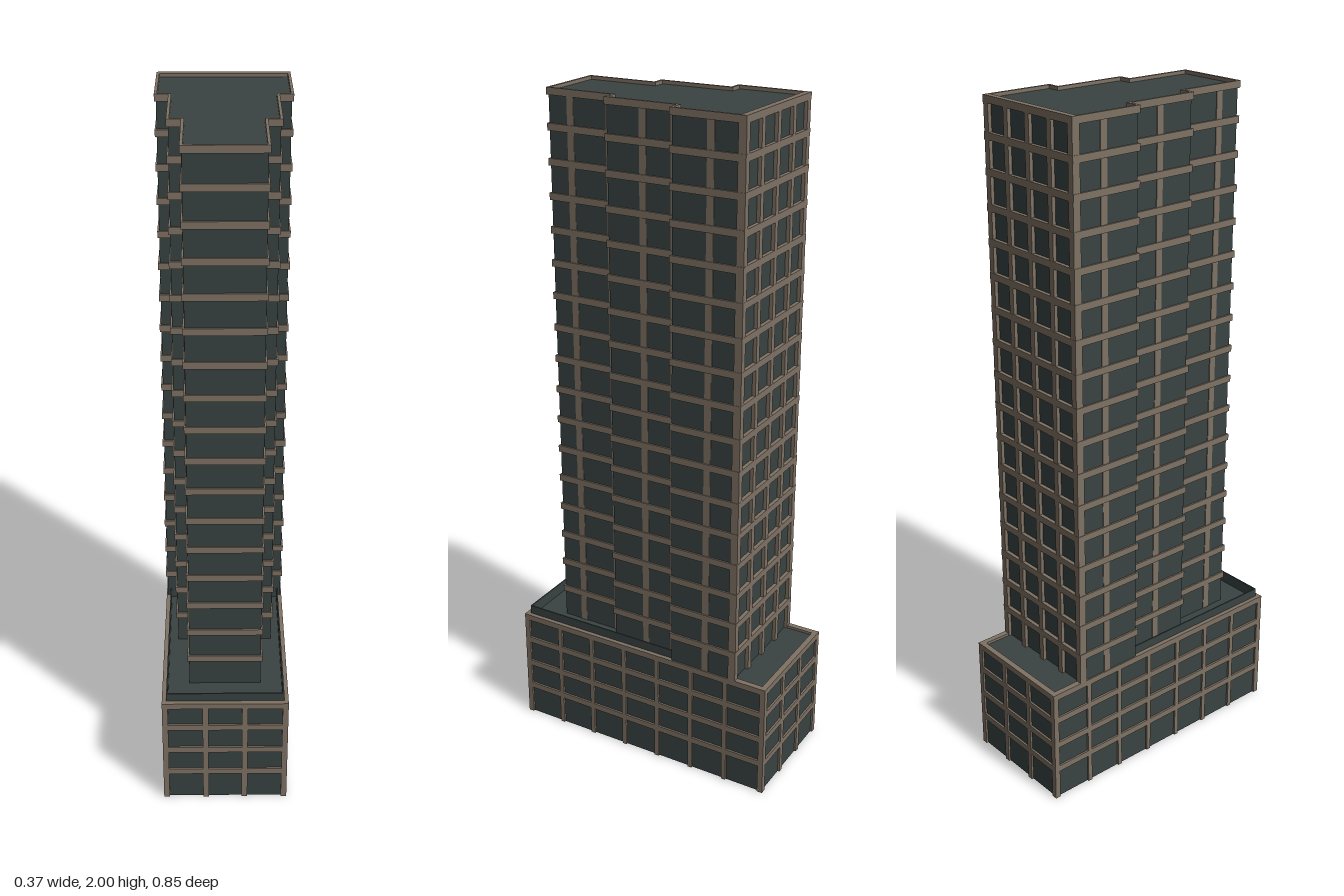
import * as THREE from 'three';

const glass = new THREE.MeshStandardMaterial({ color: 0x394242 });
glass.name = 'dark glass';
const stone = new THREE.MeshStandardMaterial({ color: 0x7f7264 });
stone.name = 'brown stone';

function box(parent, name, mat, x0, x1, y0, y1, z0, z1) {
  const mesh = new THREE.Mesh(new THREE.BoxGeometry(x1 - x0, y1 - y0, z1 - z0), mat);
  mesh.position.set((x0 + x1) / 2, (y0 + y1) / 2, (z0 + z1) / 2);
  mesh.name = name;
  parent.add(mesh);
}

// Stepped tower plan grown outwards by o, with its back at z = back (shape y is -z)
function plan(o, back) {
  const half = [
    [0.105 + o, 0.319 + o], [0.105 + o, 0.11 + o], [0.143 + o, 0.11 + o],
    [0.143 + o, -0.11 + o], [0.181 + o, -0.11 + o], [0.181 + o, back],
  ];
  const all = [...half, ...half.map(([x, z]) => [-x, z]).reverse()];
  return all.map(([x, z]) => new THREE.Vector2(x, -z));
}

// Rectangular plan, anticlockwise like the tower plan
function rect(w, d) {
  return [[-w, -d], [w, -d], [w, d], [-w, d]].map(([x, y]) => new THREE.Vector2(x, y));
}

// Upright prism of a plan, optionally hollow
function prism(parent, name, mat, outer, inner, y0, y1) {
  const shape = new THREE.Shape(outer);
  if (inner) shape.holes.push(new THREE.Path(inner));
  const geo = new THREE.ExtrudeGeometry(shape, { depth: y1 - y0, bevelEnabled: false });
  geo.rotateX(-Math.PI / 2);
  const mesh = new THREE.Mesh(geo, mat);
  mesh.position.y = y0;
  mesh.name = name;
  parent.add(mesh);
}

function makePodium() {
  const g = new THREE.Group();
  g.name = 'podium';
  const W = 0.185, D = 0.424, T = 0.017, H = 0.363;
  // Glass walls, open underneath, with a flat roof
  prism(g, 'podiumGlass', glass, rect(0.179, 0.418), rect(0.174, 0.413), 0, 0.355);
  box(g, 'podiumRoof', glass, -0.174, 0.174, 0.349, 0.355, -0.413, 0.413);
  // Floor bands, the uppermost being the parapet
  for (const y of [H, 0.282, 0.196, 0.111])
    prism(g, 'podiumBand', stone, rect(W, D), rect(W - T, D - T), y - 0.019, y);
  // Columns on the long sides, then on the ends
  for (const s of [-1, 1]) {
    for (let i = 1; i < 7; i++) {
      const z = -0.409 + i * 0.1169;
      const x = s * (W - T / 2);
      box(g, 'podiumSideColumn', stone, x - T / 2, x + T / 2, 0, H - 0.001, z - 0.007, z + 0.007);
    }
    for (const x of [-0.1765, -0.058, 0.058, 0.1765]) {
      const z = s * (D - T / 2);
      box(g, 'podiumEndColumn', stone, x - 0.0085, x + 0.0085, 0, H - 0.001, z - T / 2, z + T / 2);
    }
  }
  return g;
}

function makeTerrace() {
  const g = new THREE.Group();
  g.name = 'terraceRailing';
  // Low glass railing round three sides of the podium roof
  for (const s of [-1, 1])
    box(g, 'sideRailing', glass, s * 0.17 - 0.002, s * 0.17 + 0.002, 0.355, 0.39, -0.106, 0.41);
  box(g, 'frontRailing', glass, -0.172, 0.172, 0.355, 0.39, 0.406, 0.41);
  return g;
}

function makeTower() {
  const g = new THREE.Group();
  g.name = 'tower';
  prism(g, 'towerGlass', glass, plan(0, -0.314), null, 0.355, 1.99);
  // Floor bands from the roof edge downwards
  for (let i = 0; i < 17; i++) {
    const top = 2 - i * 0.0963;
    prism(g, 'floorBand', stone, plan(0.005, -0.325), plan(-0.003, -0.306), top - 0.02, top);
  }

  // Side columns: wall half-width and z of each
  const columns = [[0.105, 0.25], [0.105, 0.126], [0.143, 0], [0.143, -0.095], [0.181, -0.223]];
  for (const s of [-1, 1]) {
    for (const [w, z] of columns)
      box(g, 'sideColumn', stone, s * w - 0.002, s * w + 0.002, 0.355, 1.99, z - 0.0105, z + 0.0105);
    box(g, 'backCornerColumn', stone, s * 0.175 - 0.0095, s * 0.175 + 0.0095, 0.355, 1.99, -0.3245, -0.301);
  }
  // Back columns
  for (const x of [-0.09, 0, 0.09])
    box(g, 'backColumn', stone, x - 0.009, x + 0.009, 0.355, 1.99, -0.3245, -0.306);
  return g;
}

export function createModel() {
  const model = new THREE.Group();
  model.name = 'officeTower';
  model.add(makePodium(), makeTerrace(), makeTower());
  return model;
}
